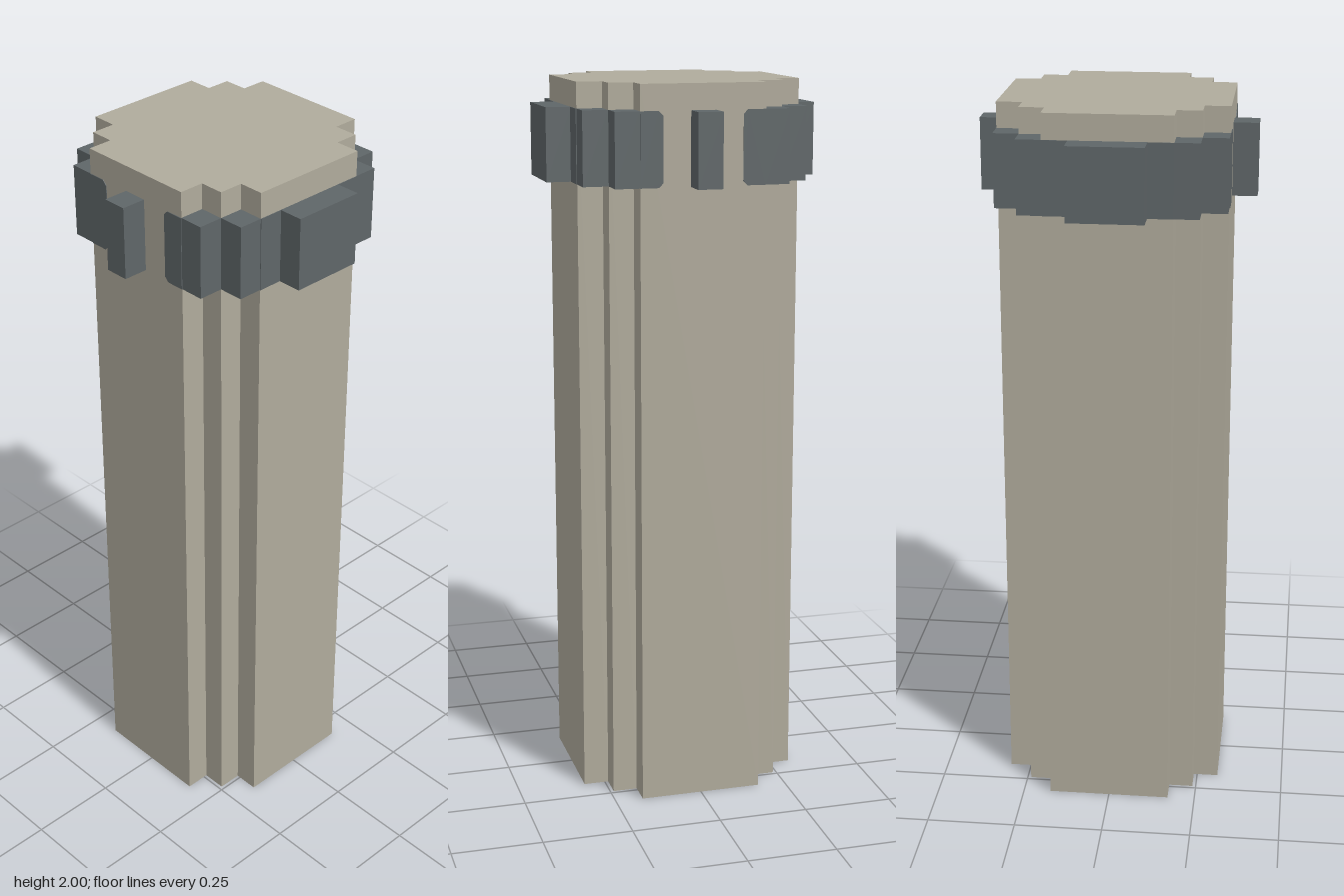
import * as THREE from 'three';

export function createModel() {
  const group = new THREE.Group();
  const stone = new THREE.MeshStandardMaterial({ color: 0xb0ab9c });
  stone.name = 'pale stone';
  const iron = new THREE.MeshStandardMaterial({ color: 0x5f6668 });
  iron.name = 'dark iron';

  const A = 0.31, B = 0.24, C = 0.172; // outer, middle and inner steps
  const bandY = 1.83, bandH = 0.2, skin = 0.002;

  const add = (name, geometry, material) => {
    const mesh = new THREE.Mesh(geometry, material);
    mesh.name = name;
    group.add(mesh);
    return mesh;
  };
  const block = (name, w, d, x, z) =>
    add(name, new THREE.BoxGeometry(w, bandH, d), iron).position.set(x, bandY, z);

  // Shaft: a square with two steps cut out of each corner
  const quarter = [[A, C], [B, C], [B, B], [C, B], [C, A]];
  const outline = [];
  for (let i = 0; i < 4; i++) {
    const a = (i * Math.PI) / 2;
    quarter.forEach(([x, y]) =>
      outline.push(new THREE.Vector2(x, y).rotateAround(new THREE.Vector2(), a)));
  }
  const shaft = new THREE.ExtrudeGeometry(new THREE.Shape(outline), { depth: 2, bevelEnabled: false });
  add('shaft', shaft.rotateX(-Math.PI / 2), stone);

  // Thin clipped plate wrapping from the corner onto a side face
  const h = bandH / 2, c = 0.012, len = C - 0.11;
  const plate = new THREE.Shape([
    [0, -h], [len - c, -h], [len, -h + c], [len, h - c], [len - c, h], [0, h],
  ].map(([x, y]) => new THREE.Vector2(x, y)));
  const plateGeometry = new THREE.ExtrudeGeometry(plate, { depth: skin * 2, bevelEnabled: false });
  plateGeometry.translate(-len / 2, 0, -skin);

  for (const s of [1, -1]) {
    // Front and back: wide raised block over a thin band
    block('wideBlock', 0.206, 0.07, 0, s * (A + 0.034));
    block('faceBand', C * 2, skin * 2, 0, s * A);
    // Sides: narrow raised block
    block('narrowBlock', 0.07, 0.068, s * (A + 0.034), 0);

    for (const t of [1, -1]) {
      // Corner blocks filling the steps
      block('cornerBlock', B - C, A - B, (s * (B + C)) / 2, (t * (A + B)) / 2);
      block('cornerBlock', A - B, B - C, (s * (A + B)) / 2, (t * (B + C)) / 2);
      // Clipped band ends, turned so the clipped edge faces the middle
      const end = add('bandEnd', plateGeometry, iron);
      end.position.set(s * A, bandY, t * (C - len / 2));
      end.rotation.y = (t * Math.PI) / 2;
    }
  }
  return group;
}
